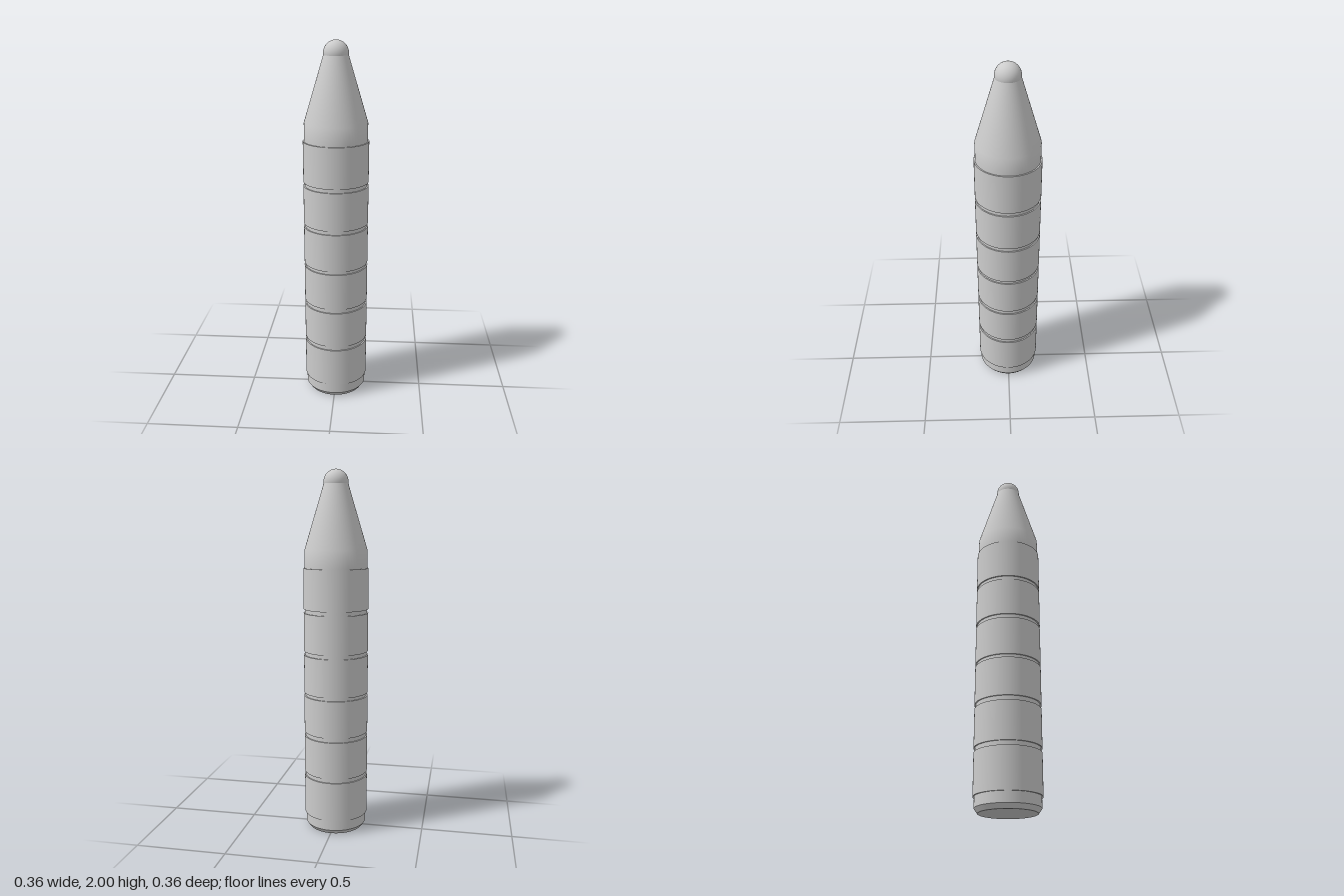
import * as THREE from 'three';

const SIDES = 64;
const CORE_R = 0.171;
const SLEEVE_R = 0.178;

export function createModel() {
  const model = new THREE.Group();
  model.name = 'segmentedCrayon';
  const grey = new THREE.MeshStandardMaterial({ color: 0xcccccc });
  grey.name = 'light grey';

  const add = (name, geometry, y = 0) => {
    const mesh = new THREE.Mesh(geometry, grey);
    mesh.name = name;
    mesh.position.y = y;
    model.add(mesh);
    return mesh;
  };

  // Cylinder or frustum given by its bottom and top heights
  const drum = (name, y0, y1, r0, r1, open = false) =>
    add(name, new THREE.CylinderGeometry(r1, r0, y1 - y0, SIDES, 1, open), (y0 + y1) / 2);

  // Chamfered foot
  drum('foot', 0, 0.025, 0.153, CORE_R);

  // Inner core, seen in the grooves, with a smooth shoulder into the taper
  const profile = [
    [CORE_R, 0.025], [CORE_R, 1.48], [CORE_R, 1.575], [0.063, 1.934],
  ].map(([r, y]) => new THREE.Vector2(r, y));
  add('coreAndTaper', new THREE.LatheGeometry(profile, SIDES));

  // Rounded tip
  add('tip', new THREE.SphereGeometry(0.067, 40, 24), 1.933);

  // Six raised sleeves with narrow grooves between them
  const sleeves = [
    [0.082, 0.304], [0.328, 0.537], [0.561, 0.77],
    [0.788, 1.0], [1.021, 1.233], [1.254, 1.477],
  ];
  sleeves.forEach(([y0, y1], i) => drum(`sleeve${i + 1}`, y0, y1, SLEEVE_R, SLEEVE_R));

  return model;
}
